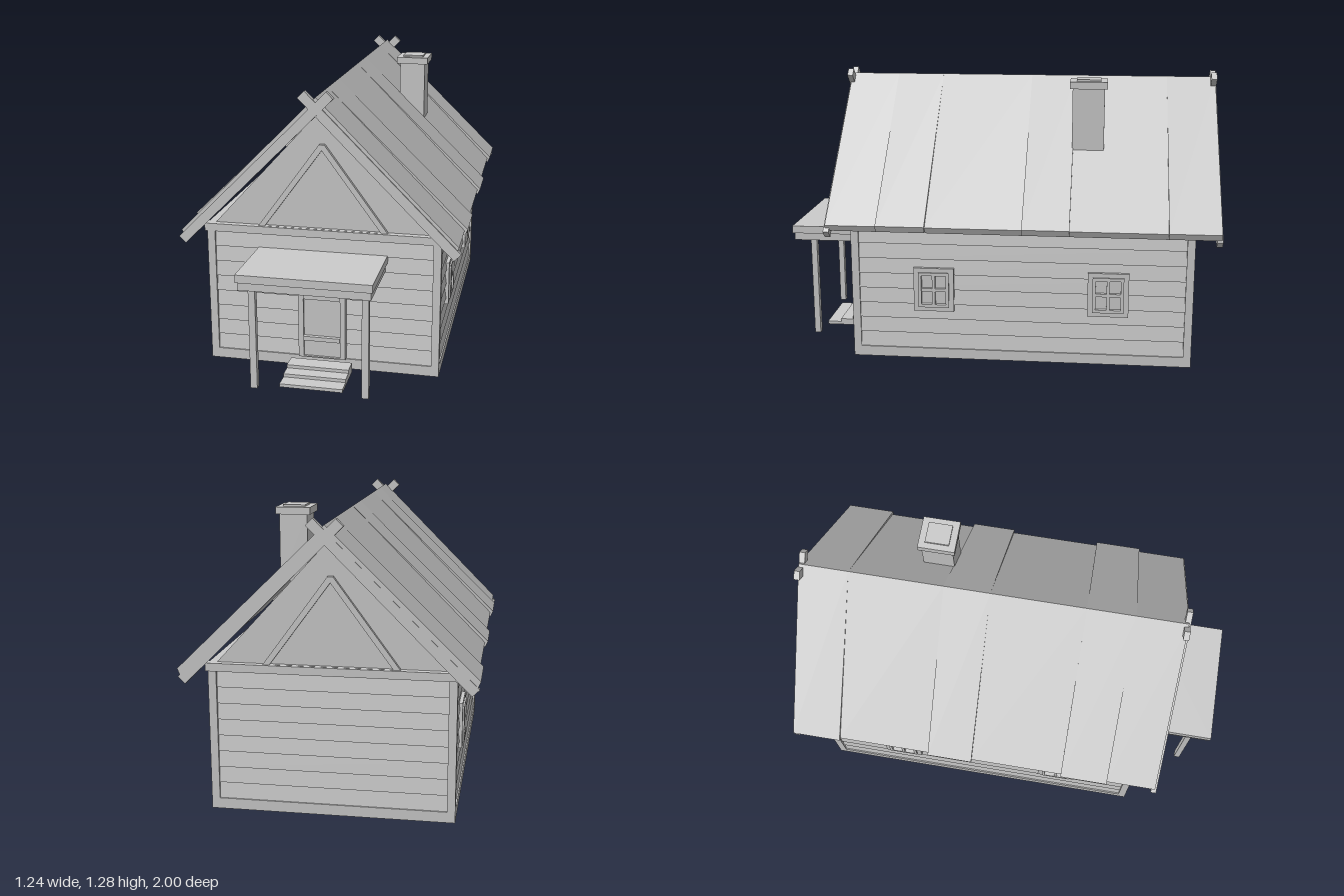
import * as THREE from 'three';

const gray = new THREE.MeshStandardMaterial({ color: 0xcccccc });
gray.name = 'plain gray';

export function createModel() {
  const house = new THREE.Group();
  house.name = 'cabin';

  const add = (name, geometry, parent = house) => {
    const mesh = new THREE.Mesh(geometry, gray);
    mesh.name = name;
    parent.add(mesh);
    return mesh;
  };
  // Box given by its extents
  const box = (name, x0, x1, y0, y1, z0, z1, parent) => {
    const g = new THREE.BoxGeometry(x1 - x0, y1 - y0, z1 - z0);
    g.translate((x0 + x1) / 2, (y0 + y1) / 2, (z0 + z1) / 2);
    return add(name, g, parent);
  };
  // Polygon in xy extruded from z0 to z1
  const prism = (name, points, z0, z1, hole, parent) => {
    const shape = new THREE.Shape(points.map(p => new THREE.Vector2(...p)));
    if (hole) shape.holes.push(new THREE.Path(hole.map(p => new THREE.Vector2(...p))));
    const g = new THREE.ExtrudeGeometry(shape, { depth: z1 - z0, bevelEnabled: false });
    g.translate(0, 0, z0);
    return add(name, g, parent);
  };

  const W = 0.525, F = 0.655, B = -0.893, post = 0.035;
  const length = F - B, midZ = (F + B) / 2;

  // Body core, base sill, top plate and corner posts
  box('wallCore', -0.505, 0.505, 0.005, 0.645, B + 0.02, F - 0.02);
  box('floor', -W, W, 0, 0.02, B, F);
  for (const s of [-1, 1]) {
    const x0 = s > 0 ? W - post : -W, x1 = x0 + post;
    box('sideSill', x0, x1, 0, 0.047, B, F);
    box('sidePlate', x0, x1, 0.615, 0.65, B, F);
    for (const z of [B, F - post]) box('cornerPost', x0, x1, 0.047, 0.615, z, z + post);
  }
  for (const [z0, z1] of [[B, B + post], [F - post, F]]) {
    box('endSill', -W + post, W - post, 0, 0.047, z0, z1);
    box('endBeam', -0.535, 0.535, 0.615, 0.65, z0 - 0.005, z1 + 0.005);
  }

  // Lapped siding: one sawtooth section extruded along each wall
  const rows = 8, y0 = 0.047, step = (0.615 - y0) / rows;
  const siding = (name, span, x, z, angle) => {
    const saw = [[-0.012, y0]];
    for (let i = 0; i < rows; i++) {
      saw.push([0.01, y0 + i * step], [0, y0 + (i + 1) * step]);
    }
    saw.push([-0.012, 0.615]);
    const m = prism(name, saw, -span / 2, span / 2);
    m.position.set(x, 0, z);
    m.rotation.y = angle;
  };
  siding('leftSiding', length - 2 * post, 0.509, midZ, 0);
  siding('rightSiding', length - 2 * post, -0.509, midZ, Math.PI);
  siding('frontSiding', 2 * (W - post), 0, F - 0.016, -Math.PI / 2);
  siding('backSiding', 2 * (W - post), 0, B + 0.016, Math.PI / 2);

  // Gables with triangular frames
  for (const s of [-1, 1]) {
    const face = s > 0 ? F - 0.025 : B + 0.025;
    const lo = Math.min(face, face - s * 0.02), hi = lo + 0.02;
    prism('gable', [[-0.495, 0.645], [0.495, 0.645], [0, 1.185]], lo, hi);
    const f0 = s > 0 ? face : face - 0.018;
    prism('gableFrame', [[-0.29, 0.65], [0.29, 0.65], [0.012, 1.03], [-0.012, 1.03]],
      f0, f0 + 0.018, [[-0.26, 0.651], [0, 1.005], [0.26, 0.651]]);
  }

  // Roof panels, alternately raised at the eaves
  const cuts = [-0.997, -0.77, -0.34, -0.13, 0.3, 0.52, 0.75];
  for (const s of [-1, 1]) {
    for (let i = 0; i < cuts.length - 1; i++) {
      const p = i % 2 === 0
        ? [[0, 1.256], [0, 1.225], [0.61, 0.622], [0.622, 0.65]]
        : [[0, 1.256], [0, 1.22], [0.596, 0.618], [0.608, 0.645]];
      prism('roofPanel', p.map(([x, y]) => [s * x, y]), cuts[i], cuts[i + 1]);
    }
    // Crossed barge boards at both ends
    for (const z of [0.732, -1]) {
      const g = new THREE.BoxGeometry(0.94, 0.042, 0.026);
      g.rotateZ(s * Math.PI / 4);
      g.translate(-s * 0.271, 0.934, z + 0.013 + s * 0.001);
      add('bargeBoard', g);
    }
  }

  // Chimney
  box('chimneyStack', 0.18, 0.305, 0.93, 1.23, -0.48, -0.335);
  box('chimneyCap', 0.165, 0.32, 1.23, 1.262, -0.492, -0.322);
  box('chimneyTop', 0.193, 0.293, 1.262, 1.27, -0.462, -0.352);

  // Porch canopy and posts
  box('porchRoof', -0.29, 0.29, 0.515, 0.55, F - 0.02, 1);
  box('porchBeam', -0.282, 0.282, 0.48, 0.515, F - 0.02, 0.992);
  for (const x of [-0.26, 0.23]) box('porchPost', x, x + 0.03, 0, 0.48, 0.892, 0.92);

  // Steps
  [[0.685, 0.76, 0.045], [0.76, 0.82, 0.03], [0.82, 0.887, 0.015]]
    .forEach(([z0, z1, h]) => box('porchStep', -0.14, 0.14, 0, h, z0, z1));

  // Front door
  const door = new THREE.Group();
  door.name = 'door';
  house.add(door);
  prism('doorFrame', [[-0.107, 0.05], [0.107, 0.05], [0.107, 0.44], [-0.107, 0.44]], F - 0.02, 0.675,
    [[-0.083, 0.055], [-0.083, 0.41], [0.083, 0.41], [0.083, 0.055]], door);
  box('doorLeaf', -0.083, 0.083, 0.055, 0.41, F - 0.02, 0.664, door);
  for (const y of [0.332, 0.133]) box('doorRail', -0.083, 0.083, y, y + 0.02, 0.664, 0.682, door);

  // Side windows, built facing +z and turned outward
  const rect = (w, h) => [[-w, -h], [w, -h], [w, h], [-w, h]];
  for (const s of [-1, 1]) {
    for (const z of [0.276, -0.515]) {
      const win = new THREE.Group();
      win.name = 'window';
      win.position.set(s * 0.505, 0.332, z);
      win.rotation.y = s * Math.PI / 2;
      house.add(win);
      prism('windowCasing', rect(0.092, 0.102), 0, 0.025, rect(0.065, 0.078).reverse(), win);
      prism('windowSash', rect(0.07, 0.082), 0, 0.032, rect(0.056, 0.068).reverse(), win);
      box('windowPane', -0.06, 0.06, -0.07, 0.07, 0, 0.014, win);
      box('windowMullion', -0.007, 0.007, -0.07, 0.07, 0.014, 0.03, win);
      box('windowRail', -0.06, 0.06, -0.007, 0.007, 0.014, 0.029, win);
    }
  }
  return house;
}
